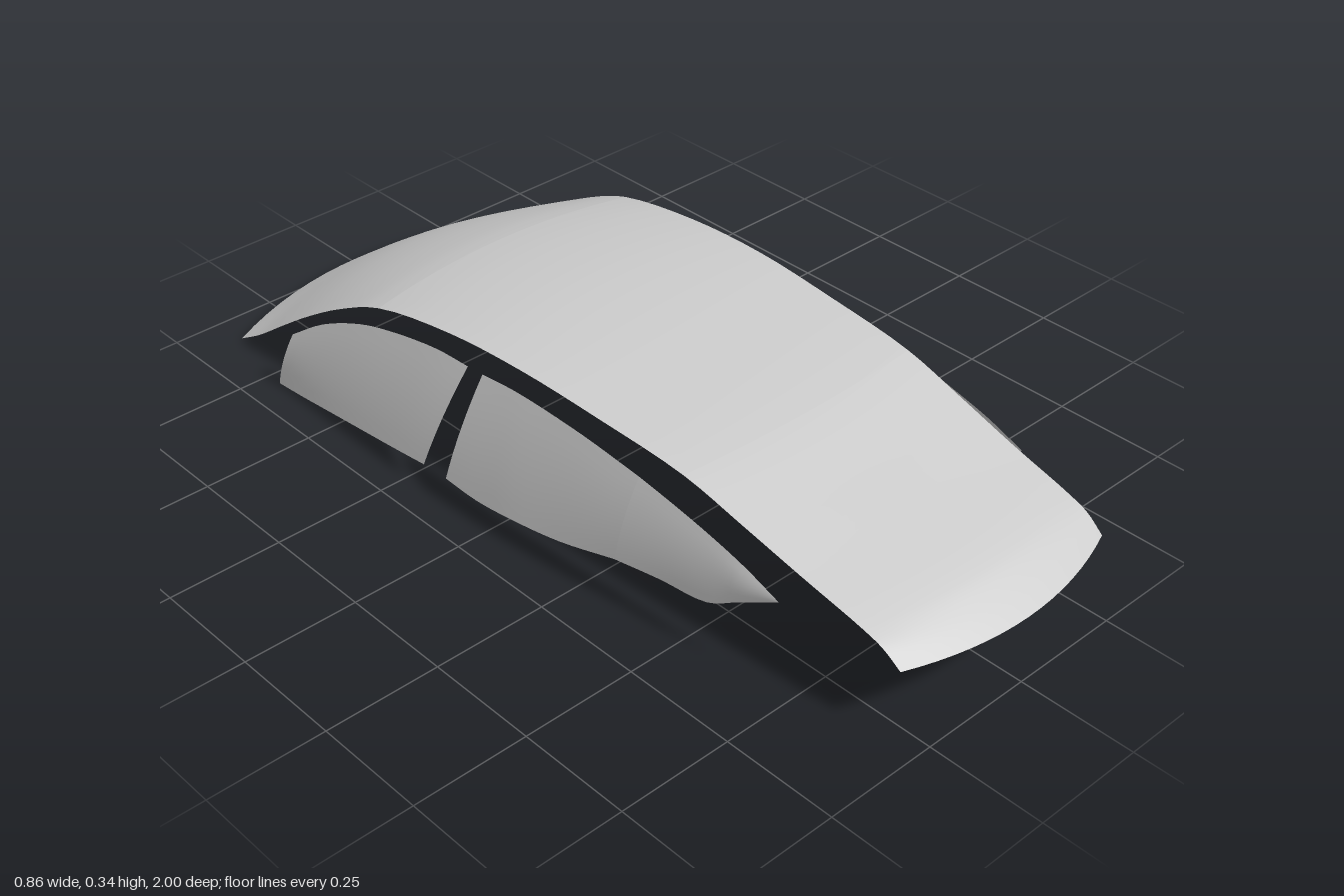
import * as THREE from 'three';

// Surface over a grid: point(u, v) returns [x, y, z]
function sheet(point, nu, nv) {
  const pos = [], index = [];
  for (let i = 0; i <= nu; i++)
    for (let j = 0; j <= nv; j++) pos.push(...point(i / nu, j / nv));
  for (let i = 0; i < nu; i++)
    for (let j = 0; j < nv; j++) {
      const a = i * (nv + 1) + j, b = a + nv + 1;
      index.push(a, b, a + 1, b, b + 1, a + 1);
    }
  const g = new THREE.BufferGeometry();
  g.setAttribute('position', new THREE.Float32BufferAttribute(pos, 3));
  g.setIndex(index);
  g.computeVertexNormals();
  return g;
}

const curve = (pts) =>
  new THREE.CatmullRomCurve3(pts.map((p) => new THREE.Vector3(...p)), false, 'centripetal');

// Canopy ribs, front to rear: [centre y, centre z, edge x, edge y, edge z]
const RIBS = [
  [0.158, 1.0, 0.28, 0.16, 0.945], [0.19, 0.95, 0.283, 0.189, 0.905],
  [0.215, 0.9, 0.285, 0.205, 0.86], [0.25, 0.75, 0.291, 0.24, 0.715],
  [0.285, 0.6, 0.298, 0.277, 0.575], [0.32, 0.45, 0.305, 0.313, 0.43],
  [0.339, 0.22, 0.316, 0.331, 0.21], [0.348, 0.0, 0.326, 0.34, 0.0],
  [0.34, -0.22, 0.333, 0.329, -0.21], [0.304, -0.46, 0.342, 0.288, -0.435],
  [0.255, -0.6, 0.352, 0.23, -0.565], [0.2, -0.72, 0.364, 0.168, -0.67],
  [0.15, -0.81, 0.374, 0.11, -0.755], [0.085, -0.91, 0.384, 0.05, -0.84],
  [0.022, -1.0, 0.39, 0.013, -0.905],
];
const centreLine = curve(RIBS.map((r) => [0, r[0], r[1]]));
const edgeLine = curve(RIBS.map((r) => [r[2], r[3], r[4]]));

// Panel of the canopy between two ribs
function canopyPanel(from, to) {
  const last = RIBS.length - 1;
  return sheet((u, v) => {
    const t = (from + (to - from) * u) / last, s = v * 2 - 1;
    const c = centreLine.getPoint(t), e = edgeLine.getPoint(t), q = s * s;
    return [e.x * s, c.y + (e.y - c.y) * q, c.z + (e.z - c.z) * q];
  }, (to - from) * 4, 16);
}

// Side panes, front to rear: [top x, y, z, bottom x, y, z]
const PANES = {
  frontQuarterWindow: [
    [0.335, 0.2, 0.705, 0.335, 0.196, 0.7],
    [0.336, 0.23, 0.62, 0.347, 0.155, 0.62],
    [0.337, 0.252, 0.53, 0.36, 0.12, 0.55],
    [0.339, 0.27, 0.44, 0.372, 0.114, 0.44],
    [0.341, 0.285, 0.35, 0.386, 0.105, 0.33],
  ],
  frontSideWindow: [
    [0.341, 0.285, 0.35, 0.386, 0.105, 0.33],
    [0.343, 0.299, 0.2, 0.403, 0.076, 0.19],
    [0.345, 0.304, 0.05, 0.416, 0.063, 0.06],
    [0.347, 0.303, -0.02, 0.421, 0.056, -0.04],
    [0.35, 0.298, -0.09, 0.424, 0.062, -0.13],
  ],
  rearSideWindow: [
    [0.35, 0.295, -0.135, 0.425, 0.06, -0.2],
    [0.353, 0.292, -0.23, 0.427, 0.05, -0.3],
    [0.36, 0.272, -0.36, 0.428, 0.038, -0.42],
    [0.369, 0.247, -0.465, 0.428, 0.026, -0.53],
    [0.386, 0.2, -0.58, 0.427, 0.015, -0.62],
    [0.408, 0.145, -0.665, 0.425, 0.005, -0.71],
  ],
};

function sidePane(rows, side) {
  const top = curve(rows.map((r) => r.slice(0, 3)));
  const bottom = curve(rows.map((r) => r.slice(3)));
  return sheet((u, v) => {
    const w = side > 0 ? v : 1 - v; // keeps the outer face outward on both sides
    const p = top.getPoint(u).lerp(bottom.getPoint(u), w);
    const bulge = 0.03 * w * (1 - w) * Math.min(1, u * 4 + (rows[0][1] > 0.25 ? 1 : 0));
    return [side * (p.x + bulge), p.y, p.z];
  }, (rows.length - 1) * 4, 8);
}

export function createModel() {
  const model = new THREE.Group();
  model.name = 'carGlass';
  const glass = new THREE.MeshStandardMaterial({ color: 0xcccccc, side: THREE.DoubleSide });
  glass.name = 'pale grey glass';
  const add = (geometry, name) => {
    const mesh = new THREE.Mesh(geometry, glass);
    mesh.name = name;
    model.add(mesh);
  };

  // Canopy
  add(canopyPanel(0, 5), 'windshield');
  add(canopyPanel(5, 9), 'roofPanel');
  add(canopyPanel(9, 14), 'rearWindow');

  // Mirrored side windows
  for (const [side, label] of [[1, 'Left'], [-1, 'Right']])
    for (const [name, rows] of Object.entries(PANES)) add(sidePane(rows, side), name + label);

  // Turn the faces outward
  model.traverse((m) => {
    if (!m.isMesh) return;
    const n = m.geometry.attributes.normal, p = m.geometry.attributes.position;
    const k = Math.floor(n.count / 2);
    const isSide = /(Left|Right)$/.test(m.name);
    const out = isSide ? n.getX(k) * p.getX(k) : n.getY(k);
    if (out < 0) {
      const idx = m.geometry.index.array;
      for (let i = 0; i < idx.length; i += 3) [idx[i], idx[i + 1]] = [idx[i + 1], idx[i]];
      m.geometry.computeVertexNormals();
    }
  });
  return model;
}
